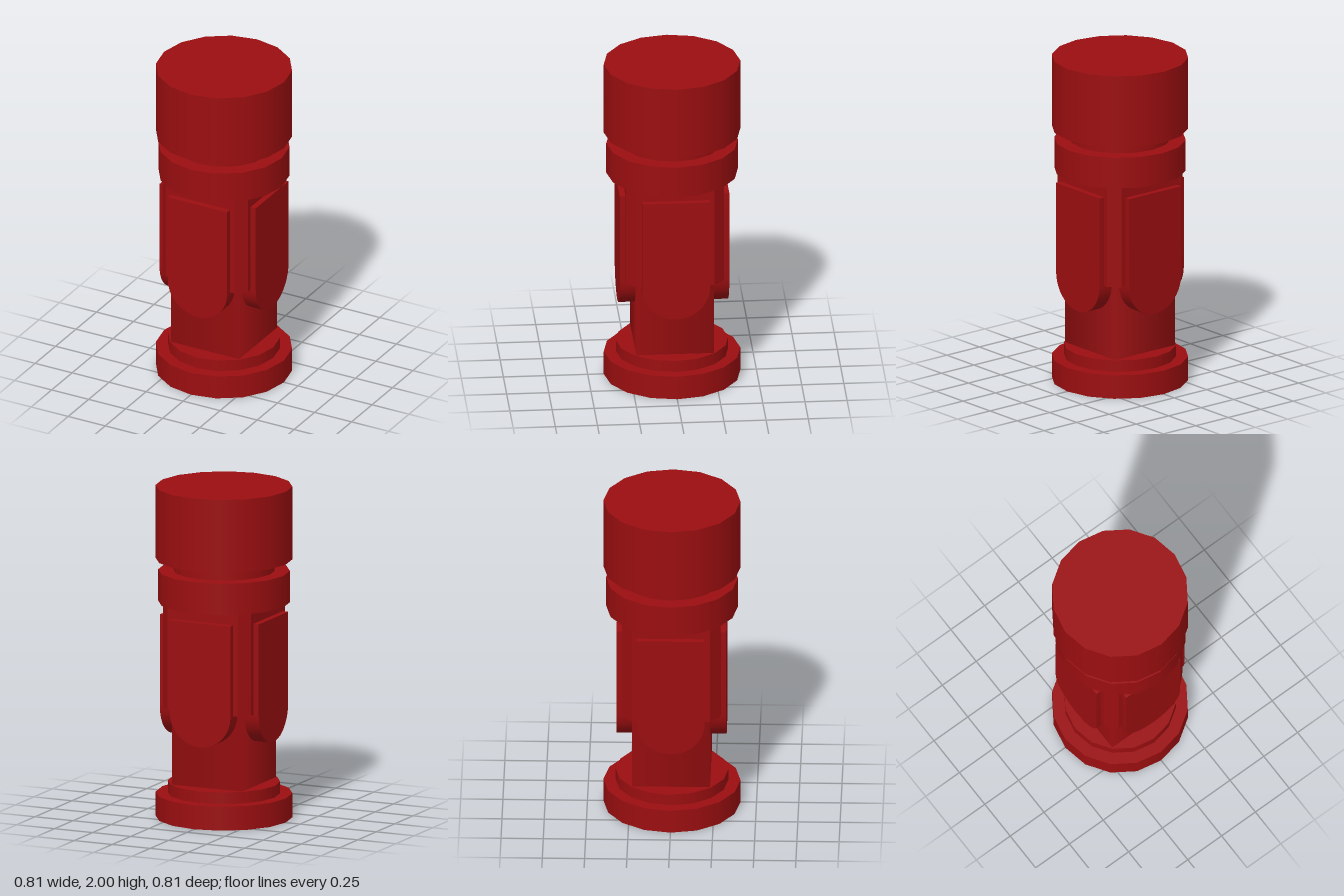
import * as THREE from 'three';
import { toCreasedNormals } from 'three/addons/utils/BufferGeometryUtils.js';

export function createModel() {
  const model = new THREE.Group();
  model.name = 'pillar';
  const material = new THREE.MeshStandardMaterial({ color: 0x9b0e10 });

  function add(name, geometry, parent = model) {
    const mesh = new THREE.Mesh(geometry, material);
    mesh.name = name;
    parent.add(mesh);
    return mesh;
  }

  // Upright drum between two heights; 16 sides with a corner on each axis
  function drum(name, radius, y0, y1, sides = 16) {
    const mesh = add(name, new THREE.CylinderGeometry(radius, radius, y1 - y0, sides));
    mesh.position.y = (y0 + y1) / 2;
    return mesh;
  }

  drum('base', 0.405, 0, 0.145);
  drum('baseStep', 0.333, 0.145, 0.215);
  drum('collar', 0.39, 1.3, 1.49);
  drum('neck', 0.3, 1.49, 1.56);
  drum('cap', 0.405, 1.56, 2);

  // Square lower shaft, its flat sides facing the axes
  drum('lowerShaft', 0.23 * Math.SQRT2, 0.215, 0.68, 4).rotation.y = Math.PI / 4;

  // Upper shaft: square with bevelled corners
  const a = 0.29, b = 0.23;
  const section = new THREE.Shape([
    [a, -b], [a, b], [b, a], [-b, a], [-a, b], [-a, -b], [-b, -a], [b, -a],
  ].map(([x, y]) => new THREE.Vector2(x, y)));
  const shaft = new THREE.ExtrudeGeometry(section, { depth: 0.62, bevelEnabled: false });
  shaft.rotateX(-Math.PI / 2);
  add('upperShaft', shaft).position.y = 0.68;

  // Four raised panels with rounded lower ends
  const outline = new THREE.Shape();
  outline.moveTo(0.2, 0.68);
  outline.lineTo(0.2, 1.23);
  outline.lineTo(-0.2, 1.23);
  outline.lineTo(-0.2, 0.68);
  outline.absarc(0, 0.68, 0.2, Math.PI, Math.PI * 2, false);
  const panel = toCreasedNormals(
    new THREE.ExtrudeGeometry(outline, { depth: 0.125, bevelEnabled: false, curveSegments: 10 }), 0.6);
  panel.translate(0, 0, 0.2);
  ['frontPanel', 'leftPanel', 'backPanel', 'rightPanel'].forEach((name, i) => {
    add(name, panel).rotation.y = i * Math.PI / 2;
  });

  return model;
}
